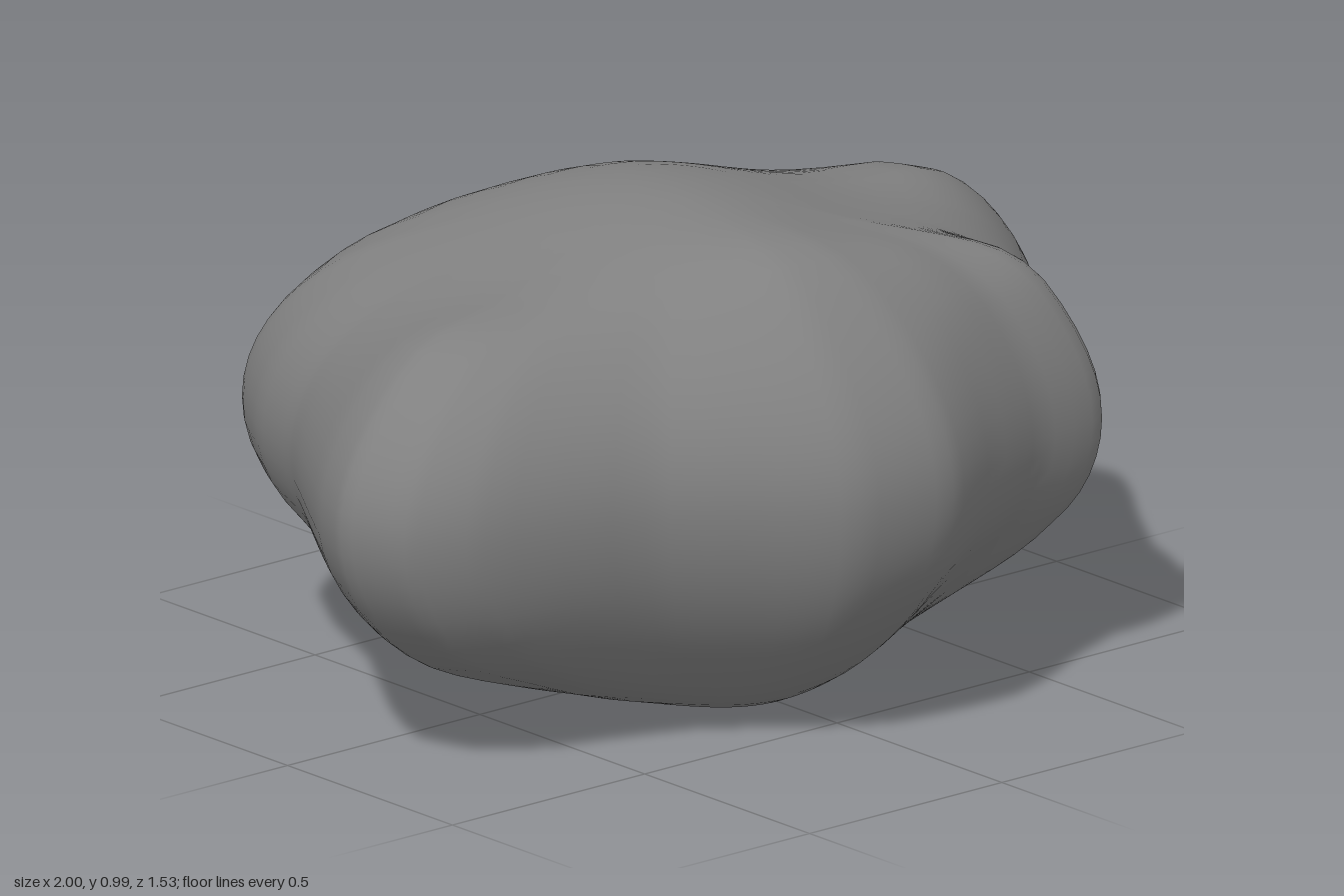
import * as THREE from 'three';
import { mergeVertices } from 'three/addons/utils/BufferGeometryUtils.js';

// Widest outline of the boulder, seen from above: x, z
const OUTLINE = [
  [1, -0.09], [0.965, -0.25], [0.83, -0.375], [0.6, -0.54], [0.47, -0.63], [0.32, -0.71],
  [0.05, -0.74], [-0.22, -0.765], [-0.41, -0.73], [-0.57, -0.64], [-0.67, -0.48],
  [-0.74, -0.3], [-0.8, -0.2], [-0.94, 0.02], [-1, 0.16], [-0.955, 0.3], [-0.82, 0.39],
  [-0.49, 0.49], [-0.3, 0.62], [-0.14, 0.735], [0.08, 0.76], [0.27, 0.67], [0.45, 0.6],
  [0.625, 0.575], [0.71, 0.43], [0.76, 0.3], [0.87, 0.12], [0.94, 0.02],
];
// Broad swells and hollows: x, z, radius, change in height
const TOP_RELIEF = [
  [-0.45, 0.05, 0.25, -0.04], [-0.74, 0.1, 0.16, 0.02], [0.45, -0.08, 0.25, -0.035],
  [0.3, 0.22, 0.22, -0.025], [-0.05, 0.43, 0.18, 0.035], [0.26, 0.5, 0.18, 0.055],
  [0.53, 0.46, 0.13, 0.04], [0.38, -0.5, 0.24, -0.035], [-0.32, -0.3, 0.24, -0.025],
  [0.75, -0.08, 0.17, 0.025],
];
const UNDER_RELIEF = [
  [0.45, 0.42, 0.26, 0.06], [0.15, 0.6, 0.2, 0.035], [0, -0.45, 0.36, 0.05],
  [-0.6, 0.28, 0.2, 0.03], [-0.6, -0.04, 0.22, -0.025], [-0.48, -0.4, 0.24, 0.04],
  [0.68, 0.02, 0.25, -0.04], [-0.1, 0.35, 0.2, -0.015],
];
const MIDDLE = 0.52, RISE = 0.475, DEPTH = 0.515, POLE_Z = 0.18, CORE_RADIUS = 0.8;

function relief(bumps, x, z) {
  return bumps.reduce((sum, [bx, bz, radius, height]) =>
    sum + height * Math.exp(-((x - bx) ** 2 + (z - bz) ** 2) / radius ** 2), 0);
}

function boulderGeometry(columns = 112, rows = 36) {
  const curve = new THREE.CatmullRomCurve3(
    OUTLINE.map(([x, z]) => new THREE.Vector3(x, 0, z)), true, 'catmullrom', 0.25);
  const rim = Array.from({ length: columns }, (_, i) => curve.getPoint(i / columns));
  const positions = [], index = [];
  for (let j = 0; j <= rows; j++) {
    const lat = (j / rows - 0.5) * Math.PI;
    const f = j === 0 || j === rows ? 0 : Math.cos(lat);
    const s = Math.sin(lat);
    const fade = Math.min(1, Math.abs(s) * 2);
    rim.forEach((p, i) => {
      // rings turn from the lobed rim to a plain round near the poles
      const ring = p.clone().setLength(CORE_RADIUS)
        .lerp(p, THREE.MathUtils.smoothstep(f, 0.1, 0.8)).multiplyScalar(f);
      // the lowest point lies forward of the middle
      if (s < 0) ring.z += POLE_Z * (1 - f);
      ring.y = MIDDLE + s * (s < 0 ? DEPTH : RISE)
        + fade * relief(s < 0 ? UNDER_RELIEF : TOP_RELIEF, ring.x, ring.z);
      positions.push(ring.x, Math.max(0, ring.y), ring.z);
      // quads between rings, single triangles at the poles
      const a = j * columns + i, b = j * columns + (i + 1) % columns;
      const c = b + columns, d = a + columns;
      if (j > 0 && j < rows) index.push(a, b, c);
      if (j < rows - 1) index.push(a, c, d);
    });
  }
  const geometry = new THREE.BufferGeometry();
  geometry.setAttribute('position', new THREE.Float32BufferAttribute(positions, 3));
  geometry.setIndex(index);
  const merged = mergeVertices(geometry, 1e-5);
  merged.computeVertexNormals();
  return merged;
}

export function createModel() {
  const group = new THREE.Group();
  group.name = 'rock';
  const boulder = new THREE.Mesh(boulderGeometry(),
    new THREE.MeshStandardMaterial({ color: 0x808080 }));
  boulder.name = 'boulder';
  group.add(boulder);
  return group;
}
